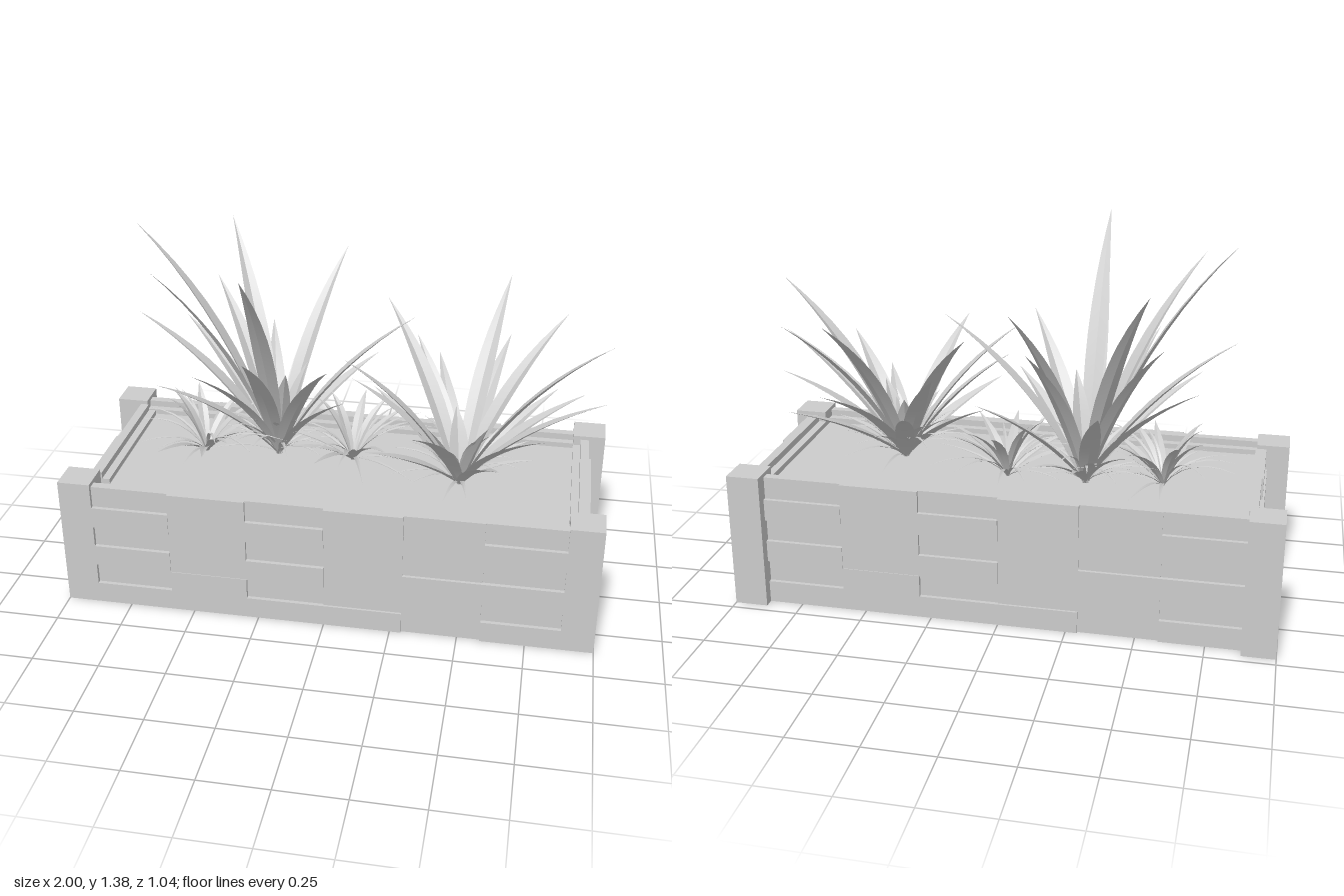
import * as THREE from 'three';
import { mergeGeometries } from 'three/addons/utils/BufferGeometryUtils.js';

const grey = new THREE.MeshStandardMaterial({ color: 0xcccccc });
const leafGrey = new THREE.MeshStandardMaterial({ color: 0xcccccc, side: THREE.DoubleSide });
const H = 0.5, ROWS = 6;

// Box given by its minimum and maximum corners
function box(name, x0, x1, y0, y1, z0, z1) {
  const mesh = new THREE.Mesh(new THREE.BoxGeometry(x1 - x0, y1 - y0, z1 - z0), grey);
  mesh.position.set((x0 + x1) / 2, (y0 + y1) / 2, (z0 + z1) / 2);
  mesh.name = name;
  return mesh;
}

// Column patterns: [first row, end row, how far the plank stands out]
const slats = [[0, 1, 0.015], [2, 3, 0.015], [4, 5, 0.015]];
const slab = [[0, 2, 0.015], [2, 6, 0.012]];
const capped = [[0, 1, 0.015], [1, 5, 0.006], [5, 6, 0.015]];
const banded = [[0, 2, 0.006], [2, 3, 0.015], [3, 6, 0.003]];
const sideSlab = [[0, 2, 0.008], [2, 5, 0.015], [5, 6, 0.008]];

// Wall along x, facing +z, with its outer face on z = 0
function wall(name, length, columns) {
  const g = new THREE.Group();
  g.name = name;
  g.add(box('wallCore', -length / 2, length / 2, 0, H, -0.033, 0));
  const w = length / columns.length;
  columns.forEach((col, i) => col.forEach(([a, b, d]) => {
    const x = -length / 2 + i * w;
    g.add(box('plank', x, x + w, a * H / ROWS, b * H / ROWS, -0.01, d));
  }));
  // Lower inner ledge behind the wall
  g.add(box('innerLedge', -length / 2, length / 2, 0.3, 0.475, -0.062, -0.032));
  return g;
}

// Folded, tapering blade that rises from the origin and arches out to the tip
function leaf([x, y, z], halfWidth, bow, n = 8) {
  const r = Math.hypot(x, z) || 1e-4;
  const curve = new THREE.QuadraticBezierCurve3(
    new THREE.Vector3(), new THREE.Vector3(x * 0.33, y * bow, z * 0.33), new THREE.Vector3(x, y, z));
  const side = new THREE.Vector3(-z / r, 0, x / r);
  const pos = [], index = [];
  for (const s of [-1, 1]) {
    const first = pos.length / 3;
    for (let i = 0; i <= n; i++) {
      const t = i / n;
      const p = curve.getPoint(t);
      const up = new THREE.Vector3().crossVectors(side, curve.getTangent(t));
      if (up.y < 0) up.negate();
      const w = halfWidth * (0.35 * (1 - t) + 0.8 * Math.sin(Math.PI * Math.pow(t, 0.9)));
      const rib = p.clone().addScaledVector(up, -0.35 * w);
      const edge = p.clone().addScaledVector(side, s * w);
      pos.push(...rib.toArray(), ...edge.toArray());
      if (i < n) {
        const a = first + i * 2;
        if (s < 0) index.push(a, a + 1, a + 2, a + 1, a + 3, a + 2);
        else index.push(a, a + 2, a + 1, a + 1, a + 2, a + 3);
      }
    }
  }
  const g = new THREE.BufferGeometry();
  g.setAttribute('position', new THREE.Float32BufferAttribute(pos, 3));
  g.setIndex(index);
  g.computeVertexNormals();
  return g;
}

function leaves(name, geometries, x, y, z) {
  const mesh = new THREE.Mesh(mergeGeometries(geometries), leafGrey);
  mesh.name = name;
  mesh.position.set(x, y, z);
  return mesh;
}

// Leaf tips of the tall plant, relative to its root
const tips = [
  [0, 0.92, 0.53], [-0.52, 0.92, 0], [-0.39, 0.83, 0.27], [-0.26, 0.83, -0.41],
  [0.21, 0.74, -0.39], [0.53, 0.62, 0], [0, 0.62, 0.53], [-0.53, 0.57, 0.01],
  [0.27, 0.55, 0.39], [-0.22, 0.5, 0.4], [-0.42, 0.46, -0.25], [0.15, 0.6, -0.38],
  [0.36, 0.36, -0.24], [-0.4, 0.38, 0.25], [0.3, 0.36, 0.24], [-0.1, 0.4, -0.4],
  [-0.3, 0.62, -0.3], [0.06, 0.4, 0.12], [-0.1, 0.38, -0.06], [0.1, 0.36, -0.1],
];

function createTuft(x, z, y, seed, reach) {
  const parts = [];
  // Low arching blades, then thin grass that lies nearly flat
  for (let i = 0; i < 24; i++) {
    const thin = i >= 11;
    const a = i * 2.4 + seed;
    const k = (i * 7 + seed * 3) % 5 / 4;
    const r = reach * (thin ? 0.65 + 0.35 * k : 0.4 + 0.5 * k);
    const h = thin ? 0.06 + 0.08 * ((i * 3) % 4) / 3 : 0.24 - 0.1 * k;
    parts.push(leaf([Math.cos(a) * r, h, Math.sin(a) * r], thin ? 0.008 : 0.02, thin ? 1.3 : 0.8, 6));
  }
  return leaves('grassTuft', parts, x, y, z);
}

export function createModel() {
  const model = new THREE.Group();
  model.name = 'planter';

  // Corner posts
  for (const [x0, x1] of [[-1, -0.877], [0.877, 1]])
    for (const [z0, z1] of [[-0.465, -0.342], [0.242, 0.365]])
      model.add(box('cornerPost', x0, x1, 0, 0.515, z0, z1));

  // Four plank walls
  const longColumns = [slats, slab, slats, capped, banded, slats];
  const front = wall('frontWall', 1.754, longColumns);
  front.position.z = 0.35;
  const back = wall('backWall', 1.754, longColumns);
  back.position.z = -0.413;
  back.rotation.y = Math.PI;
  const right = wall('plusXWall', 0.584, [sideSlab, slats]);
  right.position.set(0.938, 0, -0.05);
  right.rotation.y = Math.PI / 2;
  const left = wall('minusXWall', 0.584, [slats, sideSlab]);
  left.position.set(-0.905, 0, -0.05);
  left.rotation.y = -Math.PI / 2;
  model.add(front, back, right, left);

  // Soil filling the box down to the base
  const soilY = 0.455;
  model.add(box('soil', -0.88, 0.91, 0, soilY, -0.385, 0.32));

  // Two tall plants: the second is a lower, mirrored and turned copy
  const turned = tips.map(([x, y, z]) => [-0.25 * x + 0.97 * z, y * 0.715, 0.97 * x + 0.25 * z]);
  const grow = list => list.map(t => leaf(t, 0.036, 0.62, 10));
  model.add(leaves('tallPlant', grow(tips), -0.265, soilY, -0.11));
  model.add(leaves('lowerPlant', grow(turned), 0.46, soilY, 0.005));

  // Grass tufts between and below the plants
  [[-0.55, -0.08, 0.35], [-0.265, -0.11, 0.3], [0.03, -0.11, 0.36], [0.46, 0, 0.31]]
    .forEach(([x, z, reach], i) => model.add(createTuft(x, z, soilY, i + 1, reach)));

  return model;
}
